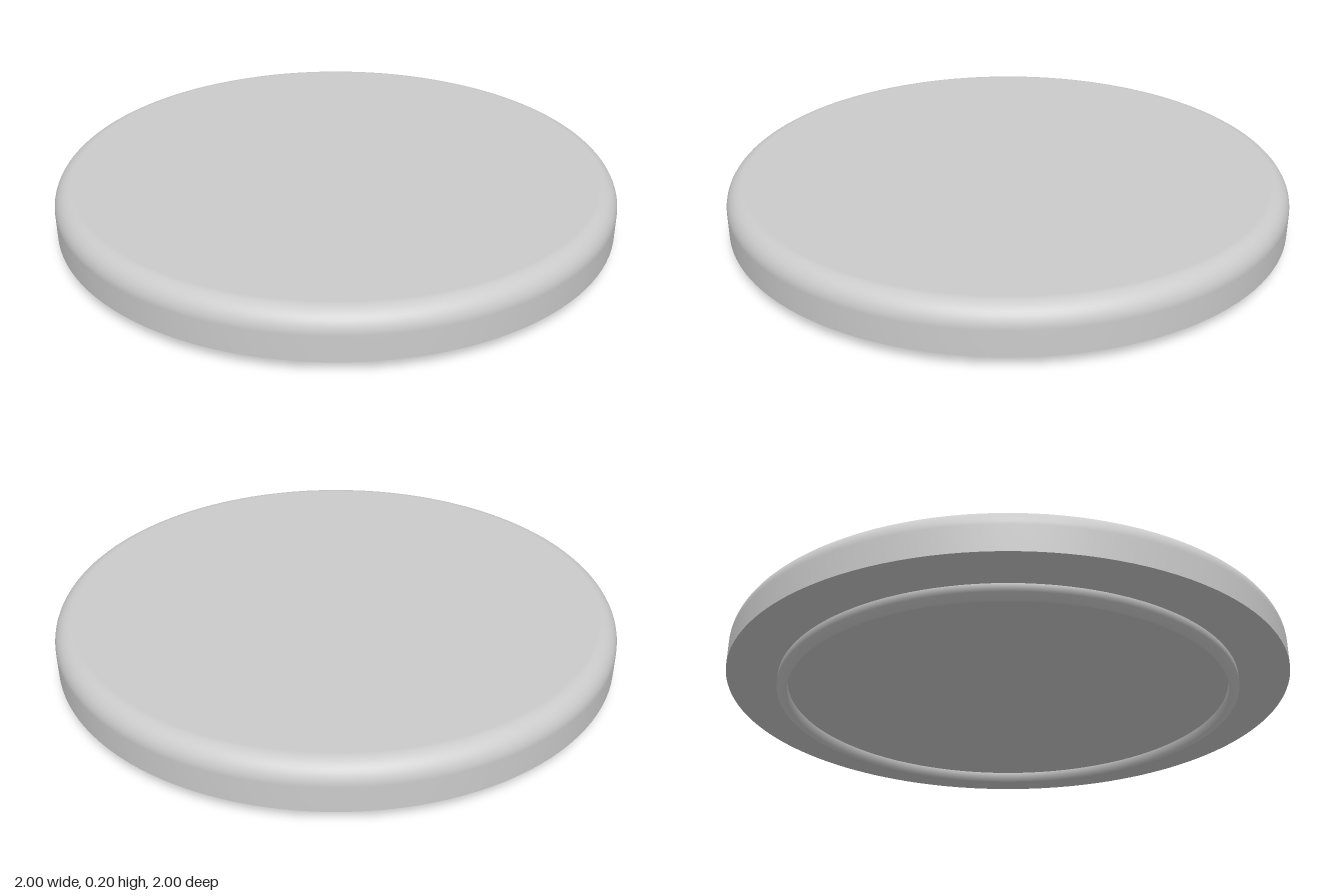
import * as THREE from 'three';

const SEGMENTS = 128;

// Revolves a profile of [radius, height] pairs; a repeated pair makes a sharp edge
function revolve(name, profile, material) {
  const points = profile.map(([r, y]) => new THREE.Vector2(r, y));
  const mesh = new THREE.Mesh(new THREE.LatheGeometry(points, SEGMENTS), material);
  mesh.name = name;
  return mesh;
}

export function createModel() {
  const group = new THREE.Group();
  group.name = 'roundDisc';
  const material = new THREE.MeshStandardMaterial({ color: 0xcccccc });

  const radius = 1, underside = 0.04, top = 0.2, fillet = 0.07;

  // Main disc: flat underside, straight wall, rounded upper edge, flat top
  const discProfile = [[0, underside], [radius, underside], [radius, underside]];
  const steps = 10;
  for (let i = 0; i <= steps; i++) {
    const a = (i / steps) * Math.PI / 2;
    discProfile.push([
      radius - fillet + fillet * Math.cos(a),
      top - fillet + fillet * Math.sin(a),
    ]);
  }
  discProfile.push([0, top]);
  group.add(revolve('disc', discProfile, material));

  // Thin foot ring: hollow inside, with its lower face sloping up to the outer wall
  group.add(revolve('footRing', [
    [0.79, underside], [0.79, 0], [0.825, 0.012], [0.825, underside],
  ], material));

  return group;
}
